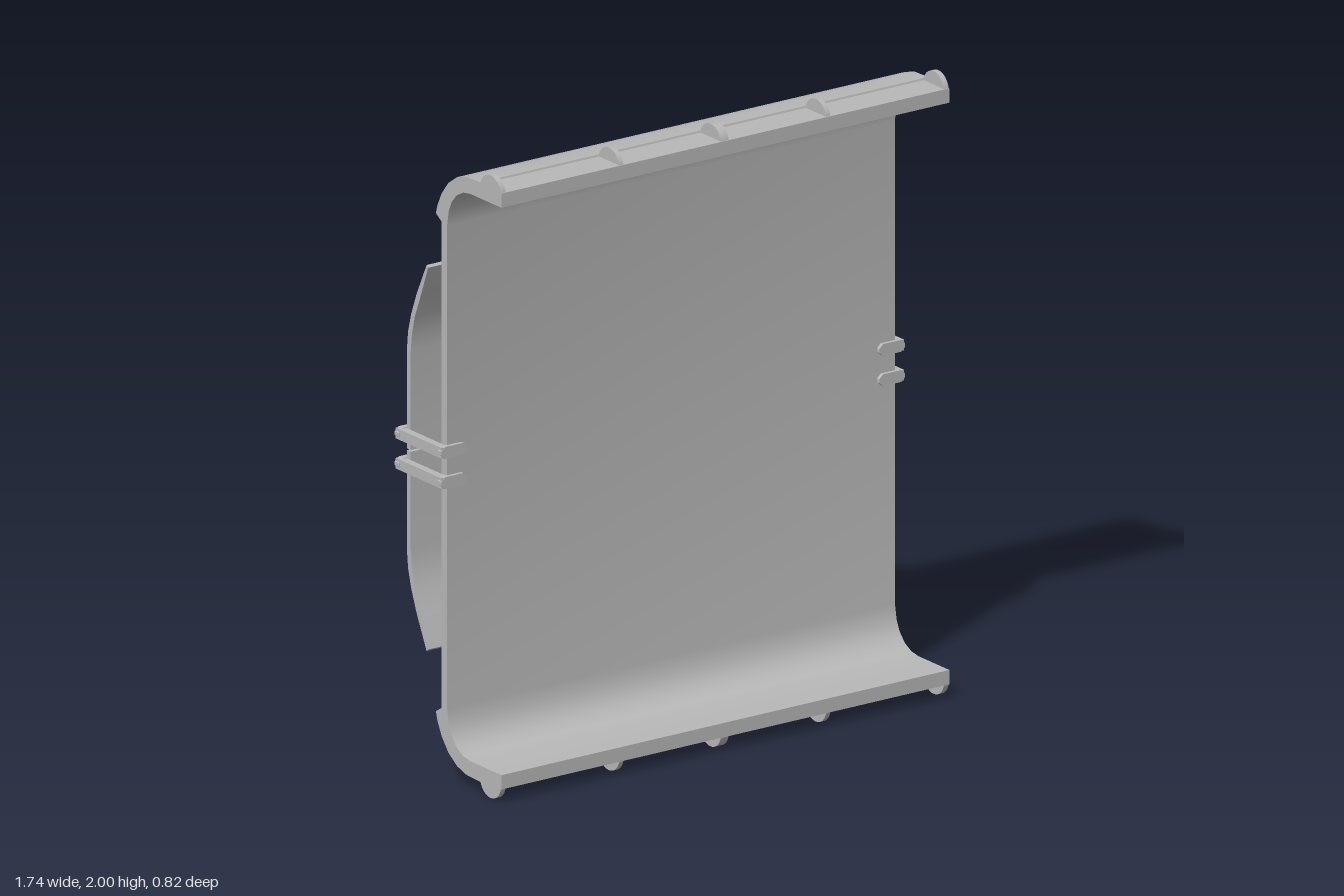
import * as THREE from 'three';
import { toCreasedNormals } from 'three/addons/utils/BufferGeometryUtils.js';

const grey = new THREE.MeshStandardMaterial({ color: 0xb8b8b8 });
grey.name = 'plain grey';

function add(parent, name, geometry) {
  const mesh = new THREE.Mesh(geometry, grey);
  mesh.name = name;
  parent.add(mesh);
  return mesh;
}

// Extrude a shape by depth, keeping soft bends smooth and corners sharp
function solid(shape, depth, curveSegments = 16) {
  const g = new THREE.ExtrudeGeometry(shape, { depth, bevelEnabled: false, curveSegments });
  return toCreasedNormals(g, 0.6);
}

// Extrude a [z, y] outline along x from x0 to x1
function alongX(points, x0, x1) {
  const shape = new THREE.Shape(points.map(([z, y]) => new THREE.Vector2(-z, y)));
  return solid(shape, x1 - x0).rotateY(Math.PI / 2).translate(x0, 0, 0);
}

const flipY = ([z, y]) => [z, 2 - y];

export function createModel() {
  const model = new THREE.Group();
  model.name = 'panelWithRoundMount';

  // Front panel with curled top and bottom lips
  const half = [
    [0.098, 1.782], [0.07, 1.8], [0.079, 1.83], [0.1, 1.872], [0.135, 1.915], [0.18, 1.946],
    [0.23, 1.961], [0.3, 1.963], [0.302, 1.957], [0.41, 1.957], [0.41, 1.911], [0.25, 1.911],
    [0.212, 1.905], [0.178, 1.887], [0.152, 1.858], [0.137, 1.825], [0.128, 1.775],
  ];
  add(model, 'frontPanel', alongX([...half, ...half.map(flipY).reverse()], -0.84, 0.84));

  // Small round ribs along both lips
  for (const [x, width] of [[-0.831, 0.018], [-0.388, 0.016], [0, 0.03], [0.388, 0.016], [0.831, 0.018]]) {
    const rib = [];
    for (let i = 0; i <= 24; i++) {
      const a = -0.55 + (i / 24) * (Math.PI + 1.1);
      rib.push([0.353 + 0.055 * Math.cos(a), 1.945 + 0.055 * Math.sin(a)]);
    }
    add(model, 'topRib', alongX(rib, x - width / 2, x + width / 2));
    add(model, 'bottomRib', alongX(rib.map(flipY), x - width / 2, x + width / 2));
  }

  // Rear plate in four quarters, leaving narrow seams between them
  const quarter = [
    [-0.08, 1.003], [-0.08, 1.32], [-0.074, 1.38], [-0.058, 1.44], [-0.03, 1.512], [0.022, 1.62],
    [0.03, 1.613], [-0.01, 1.508], [-0.04, 1.434], [-0.054, 1.375], [-0.06, 1.32], [-0.06, 1.003],
  ];
  for (const [x0, x1] of [[-0.84, -0.003], [0.003, 0.84]]) {
    add(model, 'rearPlateUpper', alongX(quarter, x0, x1));
    add(model, 'rearPlateLower', alongX(quarter.map(flipY), x0, x1));
  }

  // Pairs of side clips holding panel and plate together
  const tab = new THREE.Shape([
    [0.773, -0.006], [0.787, -0.019], [0.855, -0.019], [0.87, -0.006],
    [0.87, 0.006], [0.855, 0.019], [0.787, 0.019], [0.773, 0.006],
  ].map(([x, y]) => new THREE.Vector2(x, y)));
  for (const side of [0, Math.PI]) {
    for (const y of [0.955, 1.052]) {
      const clip = new THREE.Group();
      clip.name = 'sideClip';
      add(clip, 'clipFrontTab', solid(tab, 0.018).translate(0, 0, 0.122));
      add(clip, 'clipBackTab', solid(tab, 0.022).translate(0, 0, -0.102));
      add(clip, 'clipBar', new THREE.BoxGeometry(0.025, 0.034, 0.238).translate(0.855, 0, 0.019));
      // The half turn swaps front and back, so mirror the tabs by shifting z
      clip.rotation.z = side;
      clip.position.y = y;
      model.add(clip);
    }
  }

  // Round stepped mount with a shallow dome and a recessed hub
  const mount = new THREE.Group();
  mount.name = 'roundMount';
  mount.position.set(0.02, 0.995, 0);
  model.add(mount);
  const profile = [
    [0, 0.02], [0.548, 0.02], [0.556, 0.028], [0.556, 0.128], [0.545, 0.14], [0.49, 0.14],
    [0.484, 0.132], [0.465, 0.132], [0.465, 0.245], [0.455, 0.256], [0.4, 0.256], [0.385, 0.272],
    [0.345, 0.303], [0.29, 0.328], [0.23, 0.346], [0.16, 0.359], [0.1, 0.366], [0.062, 0.367],
    [0.056, 0.374], [0.042, 0.374], [0.036, 0.348], [0.02, 0.348], [0.018, 0.358], [0, 0.358],
  ].map(([r, d]) => new THREE.Vector2(r, d));
  const lathe = new THREE.LatheGeometry(profile, 72).rotateX(-Math.PI / 2);
  add(mount, 'mountBody', toCreasedNormals(lathe, 0.45));

  // Three slotted hooks bent over the dome
  const rail = new THREE.Shape([
    [0.18, 0.408], [0.35, 0.402], [0.392, 0.392], [0.408, 0.375], [0.438, 0.325], [0.442, 0.25],
    [0.416, 0.25], [0.41, 0.318], [0.385, 0.358], [0.36, 0.372], [0.18, 0.383],
  ].map(([r, d]) => new THREE.Vector2(r, d)));
  const tip = new THREE.Shape();
  tip.absarc(0.18, 0, 0.06, Math.PI / 2, Math.PI * 1.5, false);
  tip.absarc(0.18, 0, 0.03, Math.PI * 1.5, Math.PI / 2, true);
  for (let i = 0; i < 3; i++) {
    const hook = new THREE.Group();
    hook.name = 'hook';
    hook.rotation.z = (i * Math.PI * 2) / 3;
    for (const w of [-0.06, 0.03]) {
      add(hook, 'hookRail', solid(rail, 0.03).rotateX(-Math.PI / 2).translate(0, w, 0));
    }
    add(hook, 'hookTip', solid(tip, 0.025).translate(0, 0, -0.408));
    add(hook, 'hookFoot', new THREE.BoxGeometry(0.024, 0.062, 0.066).translate(0.427, 0, -0.284));
    mount.add(hook);
  }

  return model;
}
